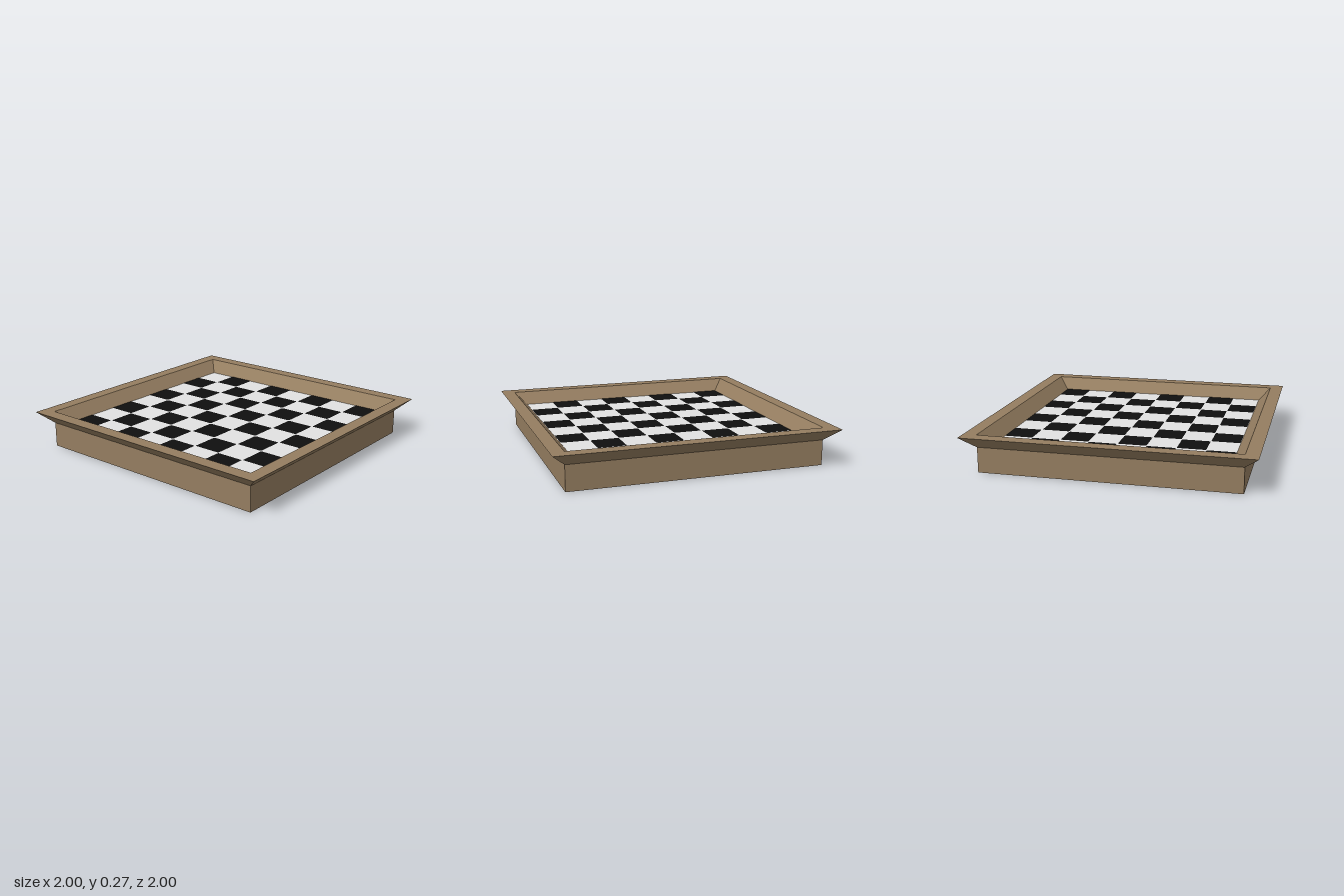
import * as THREE from 'three';

const wood = new THREE.MeshStandardMaterial({ name: 'brown wood', color: 0x947d60 });
const white = new THREE.MeshStandardMaterial({ name: 'white square', color: 0xe2e2e2 });
const black = new THREE.MeshStandardMaterial({ name: 'black square', color: 0x0f0f0f });

const INNER = 0.82, WALL = 0.905, RIM = 1.0;   // half widths
const PANEL_Y = 0.09, BOARD_Y = 0.18, TOP_Y = 0.267;

function add(group, name, geometry, material, x = 0, y = 0, z = 0) {
  const mesh = new THREE.Mesh(geometry, material);
  mesh.name = name;
  mesh.position.set(x, y, z);
  group.add(mesh);
  return mesh;
}

// Four-sided mitred frame: one cross-section swept around the square
function frameGeometry() {
  const section = [
    [INNER, PANEL_Y], [INNER, 0], [WALL, 0], [WALL, BOARD_Y],
    [RIM, TOP_Y], [WALL, TOP_Y], [INNER, BOARD_Y],
  ].map(([r, y]) => new THREE.Vector2(r * Math.SQRT2, y));
  const geometry = new THREE.LatheGeometry(section, 4, Math.PI / 4).toNonIndexed();
  geometry.computeVertexNormals();
  return geometry;
}

// Flat square with slightly rounded corners, facing up
function squareGeometry(size, r) {
  const h = size / 2;
  const s = new THREE.Shape();
  s.moveTo(-h + r, -h);
  s.lineTo(h - r, -h).quadraticCurveTo(h, -h, h, -h + r);
  s.lineTo(h, h - r).quadraticCurveTo(h, h, h - r, h);
  s.lineTo(-h + r, h).quadraticCurveTo(-h, h, -h, h - r);
  s.lineTo(-h, -h + r).quadraticCurveTo(-h, -h, -h + r, -h);
  return new THREE.ShapeGeometry(s, 3).rotateX(-Math.PI / 2);
}

export function createModel() {
  const model = new THREE.Group();
  model.name = 'chessboard';

  add(model, 'frame', frameGeometry(), wood);

  // Recessed base panel with the light playing surface on top
  const plate = 0.006, panel = BOARD_Y - plate - PANEL_Y;
  add(model, 'basePanel', new THREE.BoxGeometry(INNER * 2, panel, INNER * 2), wood, 0, PANEL_Y + panel / 2, 0);
  add(model, 'whiteSurface', new THREE.BoxGeometry(INNER * 2, plate, INNER * 2), white, 0, BOARD_Y - plate / 2, 0);

  // Dark squares; the back left corner square as seen from the front stays white
  const squares = new THREE.Group();
  squares.name = 'blackSquares';
  const step = INNER * 2 / 8;
  const square = squareGeometry(step - 0.004, 0.012);
  for (let row = 0; row < 8; row++) {
    for (let col = 0; col < 8; col++) {
      if ((row + col) % 2 === 0) continue;
      add(squares, 'blackSquare', square, black, (col - 3.5) * step, BOARD_Y + 0.002, (row - 3.5) * step);
    }
  }
  model.add(squares);
  return model;
}
